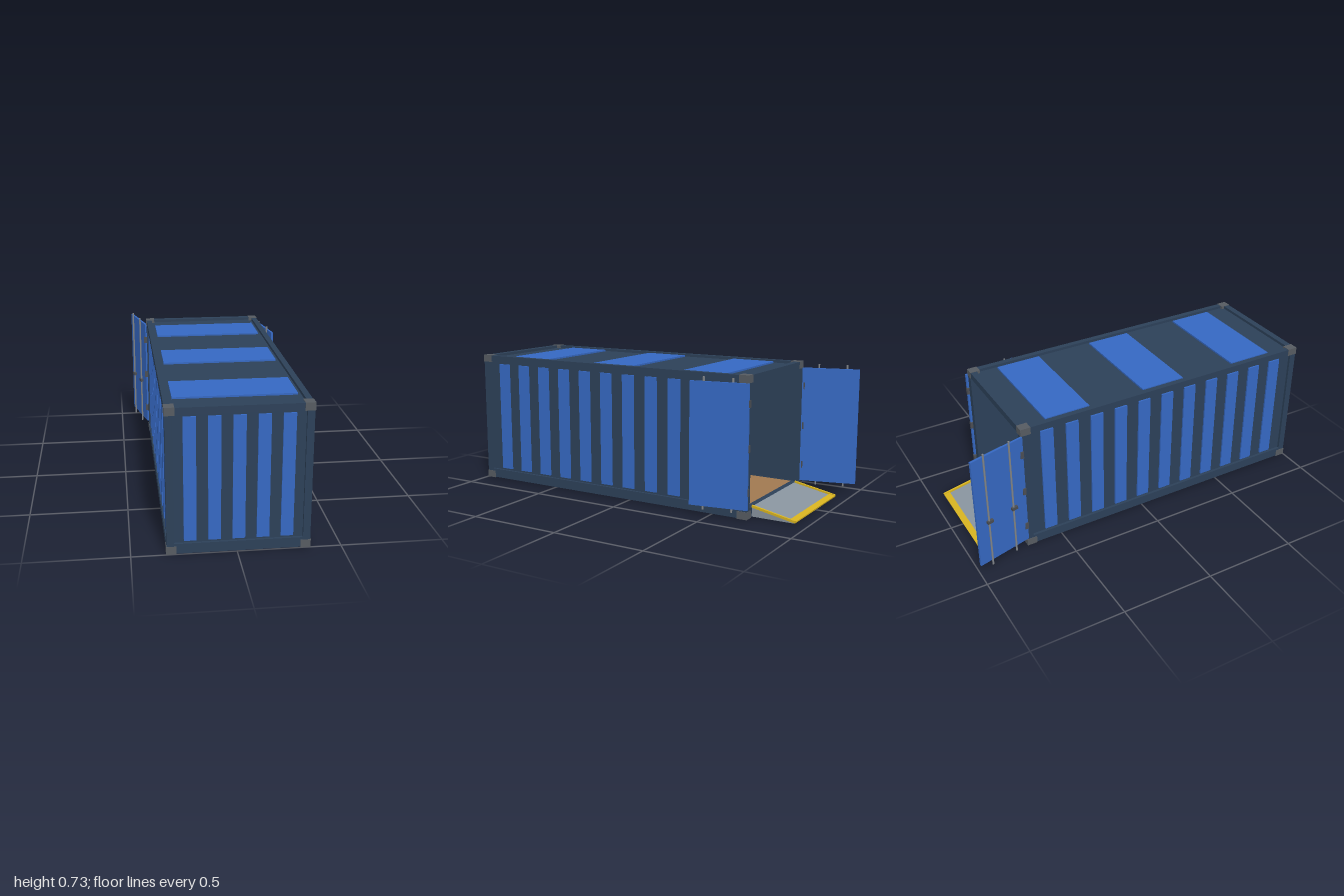
import * as THREE from 'three';

const mat = (name, color) => {
  const m = new THREE.MeshStandardMaterial({ color });
  m.name = name;
  return m;
};

export function createModel() {
  const navy = mat('navy frame', 0x2c4058);
  const blue = mat('blue panel', 0x3568c2);
  const castingGrey = mat('casting grey', 0x565b61);
  const barGrey = mat('bar grey', 0x808488);
  const hingeGrey = mat('hinge grey', 0x4a4d52);
  const wood = mat('floor wood', 0xa07850);
  const rampGrey = mat('ramp grey', 0x88939e);
  const yellow = mat('safety yellow', 0xd6b220);

  const model = new THREE.Group();
  model.name = 'shippingContainer';
  const body = new THREE.Group();
  body.name = 'body';
  body.position.set(0.0085, 0, 0.15);
  model.add(body);

  // Box given by its lower and upper limits on each axis
  const box = (parent, name, material, x0, x1, y0, y1, z0, z1) => {
    const m = new THREE.Mesh(new THREE.BoxGeometry(x1 - x0, y1 - y0, z1 - z0), material);
    m.position.set((x0 + x1) / 2, (y0 + y1) / 2, (z0 + z1) / 2);
    m.name = name;
    parent.add(m);
    return m;
  };
  // Same, with x and z limits mirrored by sign
  const mirrored = (name, material, sx, sz, x0, x1, y0, y1, z0, z1) => {
    const [xa, xb] = [sx * x0, sx * x1].sort((a, b) => a - b);
    const [za, zb] = [sz * z0, sz * z1].sort((a, b) => a - b);
    return box(body, name, material, xa, xb, y0, y1, za, zb);
  };

  const W = 0.341, L = 0.848, BOTTOM = 0.053, TOP = 0.69, H = 0.725;

  // Corner castings and posts
  for (const sx of [-1, 1]) for (const sz of [-1, 1]) {
    for (const [y0, y1] of [[0, 0.04], [0.688, 0.727]])
      mirrored('cornerCasting', castingGrey, sx, sz, 0.295, 0.3435, y0, y1, 0.795, 0.85);
    mirrored('cornerPost', navy, sx, sz, W - 0.035, W, 0.02, 0.71, L - 0.035, L);
  }

  // Rails along the sides and across the ends
  for (const s of [-1, 1]) {
    for (const [y0, y1] of [[0.003, BOTTOM], [TOP, H]]) {
      mirrored('sideRail', navy, s, 1, W - 0.03, W, y0, y1, -L + 0.03, L - 0.03);
      mirrored('endRail', navy, 1, s, -W + 0.02, W - 0.02, y0, y1, L - 0.035, L);
    }
  }

  // Floor
  box(body, 'floor', wood, -0.334, 0.334, 0.001, 0.05, -0.842, 0.842);

  // Side walls with raised ribs
  for (const s of [-1, 1]) {
    mirrored('sideWall', navy, s, 1, W - 0.026, W - 0.014, 0.045, 0.7, -L + 0.03, L - 0.03);
    for (let i = 0; i < 11; i++) {
      const z = 0.705 - i * 0.141;
      mirrored('sideRib', blue, s, 1, W - 0.016, W - 0.005, 0.064, 0.678, z - 0.035, z + 0.035);
    }
  }

  // Closed end wall with ribs
  box(body, 'endWall', navy, -W + 0.03, W - 0.03, 0.045, 0.7, L - 0.026, L - 0.014);
  for (let i = -2; i <= 2; i++) {
    const x = i * 0.1145;
    box(body, 'endRib', blue, x - 0.03, x + 0.03, 0.064, 0.678, L - 0.016, L - 0.005);
  }

  // Roof with broad raised panels
  box(body, 'roof', navy, -W + 0.025, W - 0.025, 0.697, 0.71, -L + 0.03, L - 0.03);
  for (let i = -1; i <= 1; i++) {
    const z = -0.005 + i * 0.565;
    box(body, 'roofPanel', blue, -0.295, 0.295, 0.705, 0.719, z - 0.124, z + 0.124);
  }

  // Open doors: local x runs from the hinge, `out` is the outer face direction
  const addDoor = (name, x, z, angle, out) => {
    const door = new THREE.Group();
    door.name = name;
    door.position.set(x, 0, z);
    door.rotation.y = angle;
    model.add(door);
    box(door, 'doorPanel', blue, 0, 0.308, BOTTOM, 0.689, -0.006, 0.006);
    for (const t of [0.088, 0.24]) {
      const bar = new THREE.Mesh(new THREE.CylinderGeometry(0.0052, 0.0052, 0.68, 10), barGrey);
      bar.name = 'lockingBar';
      bar.position.set(t, 0.37, out * 0.013);
      door.add(bar);
      const c = out * 0.014;
      box(door, 'lockHandle', hingeGrey, t - 0.022, t + 0.012, 0.297, 0.313, c - 0.008, c + 0.008);
    }
  };
  addDoor('rightDoor', -0.336, -0.696, 1.82, -1);
  addDoor('leftDoor', 0.361, -0.708, -1.417, 1);

  // Hinges
  for (const x of [-0.341, 0.357]) for (const y of [0.144, 0.366, 0.589])
    box(model, 'hinge', hingeGrey, x - 0.009, x + 0.009, y - 0.019, y + 0.019, -0.712, -0.694);

  // Loading ramp: solid wedge extruded across the opening
  const wedge = new THREE.Shape([[0.695, 0.003], [0.925, 0.003], [0.925, 0.009], [0.695, 0.054]]
    .map(([a, b]) => new THREE.Vector2(a, b)));
  const ramp = new THREE.Mesh(
    new THREE.ExtrudeGeometry(wedge, { depth: 0.56, bevelEnabled: false }), rampGrey);
  ramp.name = 'ramp';
  ramp.rotation.y = Math.PI / 2;
  ramp.position.x = -0.2715;
  model.add(ramp);

  // Yellow ramp edging, laid along the slope
  const trim = new THREE.Group();
  trim.name = 'rampTrim';
  trim.position.set(0.0085, 0.054, -0.697);
  trim.rotation.x = -Math.atan2(0.045, 0.23);
  model.add(trim);
  for (const s of [-1, 1])
    box(trim, 'rampSideEdge', yellow, s * 0.277 - 0.006, s * 0.277 + 0.006, -0.003, 0.009, -0.24, 0);
  box(trim, 'rampEndEdge', yellow, -0.283, 0.283, -0.003, 0.005, -0.241, -0.207);

  return model;
}
